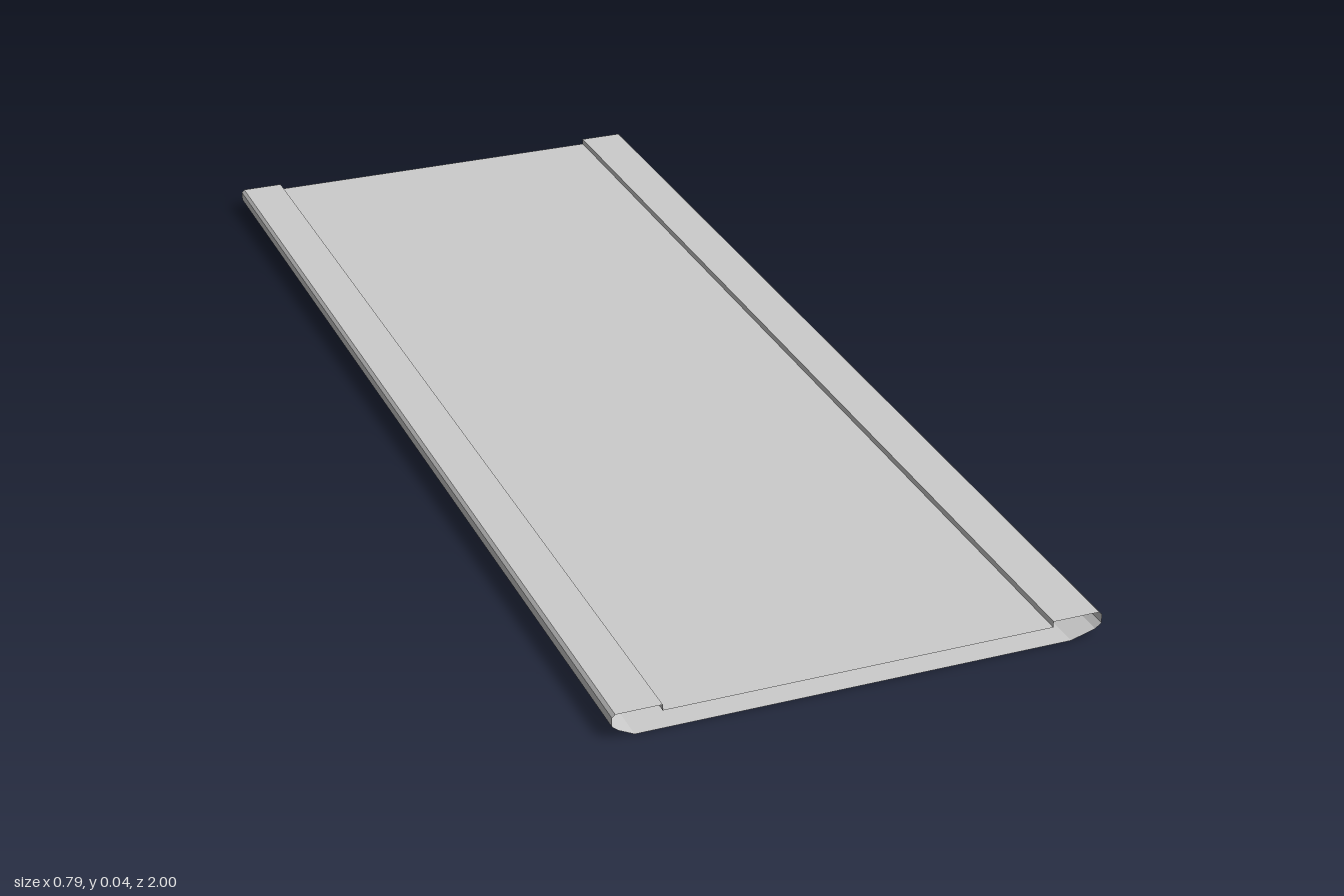
import * as THREE from 'three';

const HALF_LENGTH = 1;

// Sweeps an open (x, y) profile along z, leaving the ends open.
// Counter-clockwise profiles face outward.
function sweep(name, profile, material) {
  const positions = [];
  for (let i = 0; i < profile.length - 1; i++) {
    const [ax, ay] = profile[i];
    const [bx, by] = profile[i + 1];
    const a = [ax, ay, HALF_LENGTH], b = [ax, ay, -HALF_LENGTH];
    const c = [bx, by, -HALF_LENGTH], d = [bx, by, HALF_LENGTH];
    positions.push(...a, ...b, ...c, ...a, ...c, ...d);
  }
  const geometry = new THREE.BufferGeometry();
  geometry.setAttribute('position', new THREE.Float32BufferAttribute(positions, 3));
  geometry.computeVertexNormals();
  const mesh = new THREE.Mesh(geometry, material);
  mesh.name = name;
  return mesh;
}

export function createModel() {
  const group = new THREE.Group();
  group.name = 'hollowPanel';
  const material = new THREE.MeshStandardMaterial({
    color: 0xcccccc, flatShading: true, side: THREE.DoubleSide,
  });

  // flat underside
  group.add(sweep('bottomSheet', [[-0.36, 0], [0.345, 0]], material));

  // folded edge: sloped underside, outer wall, raised flange, step down
  group.add(sweep('leftEdge', [
    [0.345, 0], [0.385, 0.012], [0.395, 0.02], [0.395, 0.035], [0.39, 0.04],
    [0.313, 0.04], [0.313, 0.03],
  ], material));

  // recessed top face between the flanges
  group.add(sweep('topSheet', [[0.313, 0.03], [-0.317, 0.03]], material));

  // opposite folded edge, with a slightly steeper underside
  group.add(sweep('rightEdge', [
    [-0.317, 0.03], [-0.317, 0.04], [-0.39, 0.04], [-0.395, 0.035],
    [-0.395, 0.02], [-0.385, 0.012], [-0.36, 0],
  ], material));

  return group;
}
